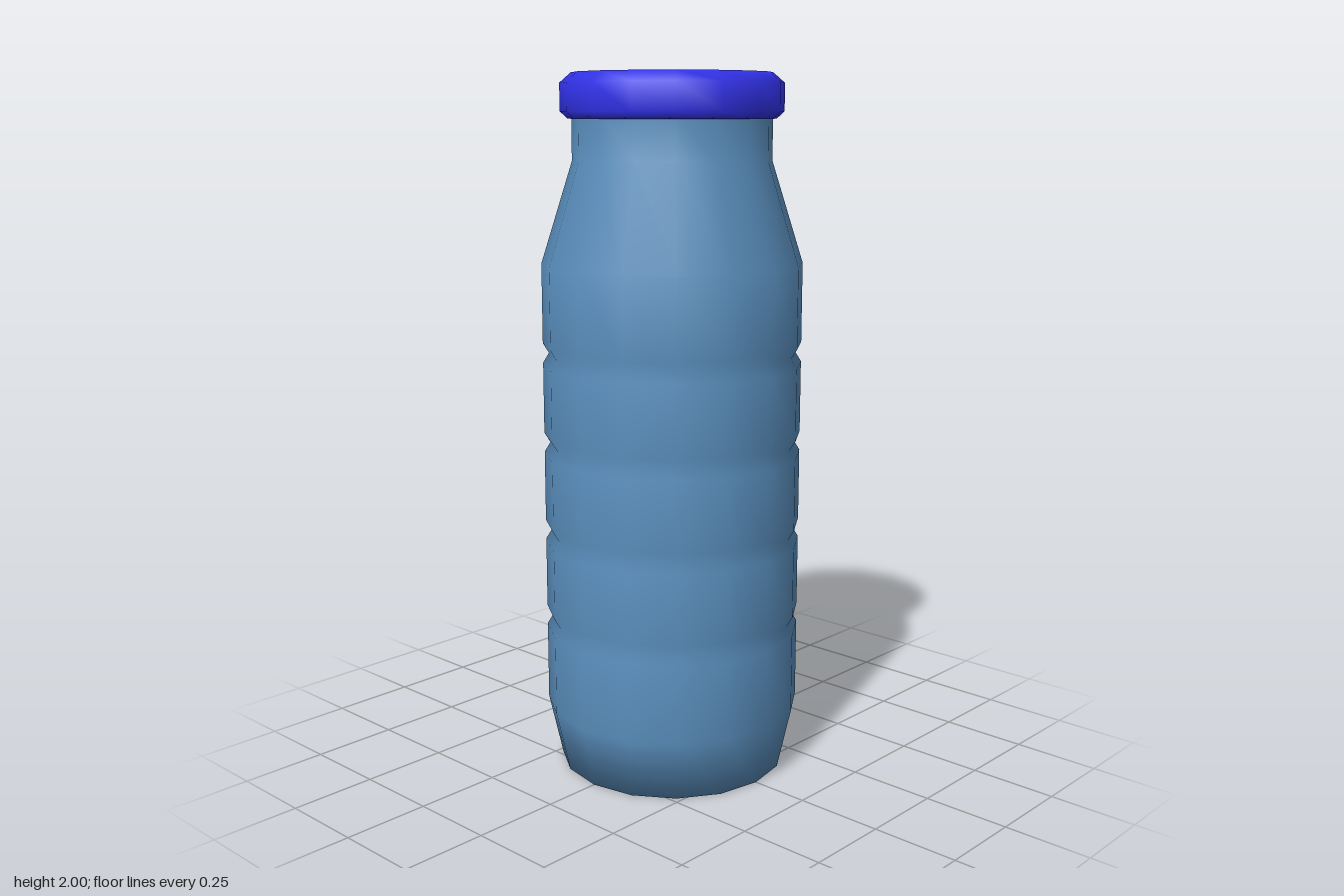
import * as THREE from 'three';

const SIDES = 16;

// Revolve a [radius, height] profile, listed from bottom to top
function turned(name, profile, color) {
  const points = profile.map(([r, y]) => new THREE.Vector2(r, y));
  const mesh = new THREE.Mesh(
    new THREE.LatheGeometry(points, SIDES),
    new THREE.MeshStandardMaterial({ color })
  );
  mesh.name = name;
  return mesh;
}

export function createModel() {
  const group = new THREE.Group();
  group.name = 'bottle';

  // Body: tapered foot, four grip grooves, sloping shoulder and neck
  const R = 0.37;
  const body = [[0, 0], [0.33, 0], [R, 0.18]];
  for (let i = 0; i < 4; i++) {
    const y = 0.437 + i * 0.261;
    body.push([R, y - 0.028], [0.353, y], [R, y + 0.028]);
  }
  body.push([R, 1.475], [0.28, 1.76], [0.28, 1.89]);
  group.add(turned('body', body, 0x5b90bf));

  // Cap: closed disc with bevelled rims
  const cap = [[0, 1.875], [0.29, 1.875], [0.312, 1.895], [0.312, 1.972], [0.28, 2], [0, 2]];
  group.add(turned('cap', cap, 0x3333ee));

  return group;
}
